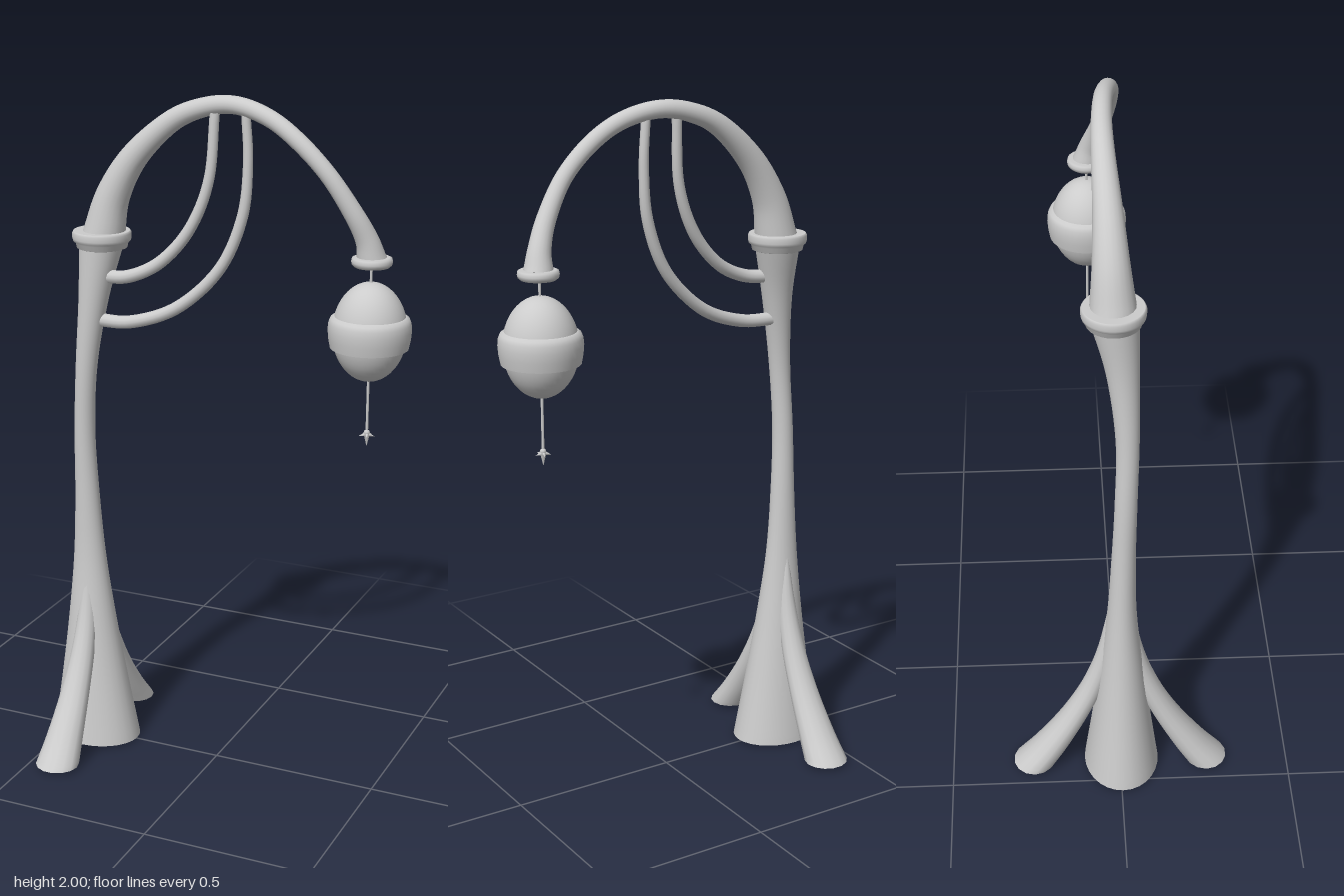
import * as THREE from 'three';

const material = new THREE.MeshStandardMaterial({ color: 0xcccccc });
const V = (x, y, z) => new THREE.Vector3(x, y, z);

// Smooth tapered limb. Each station is [x, y, z, radius, depthRadius].
// With level = true every cross-section stays horizontal.
function limb(stations, steps, sides, level = false) {
  const path = new THREE.CatmullRomCurve3(stations.map(s => V(s[0], s[1], s[2])), false, 'catmullrom');
  const size = new THREE.CatmullRomCurve3(stations.map(s => V(s[3], s[4] ?? s[3], 0)), false, 'catmullrom');
  const pos = [], index = [];
  for (let i = 0; i <= steps; i++) {
    const t = i / steps, p = path.getPoint(t), r = size.getPoint(t);
    const T = level ? V(0, 1, 0) : path.getTangent(t);
    const N = V(0, 0, 1).cross(T).normalize();
    const B = T.clone().cross(N);
    for (let j = 0; j < sides; j++) {
      const a = (j / sides) * Math.PI * 2;
      const q = p.clone().addScaledVector(N, r.x * Math.cos(a)).addScaledVector(B, r.y * Math.sin(a));
      pos.push(q.x, q.y, q.z);
      if (i < steps) {
        const k = (j + 1) % sides, u = i * sides, w = u + sides;
        index.push(u + j, u + k, w + k, u + j, w + k, w + j);
      }
    }
  }
  // End caps get their own ring so their edges stay sharp
  for (const end of [0, 1]) {
    const c = path.getPoint(end), ring = end * steps * sides, base = pos.length / 3;
    pos.push(c.x, c.y, c.z, ...pos.slice(ring * 3, (ring + sides) * 3));
    for (let j = 0; j < sides; j++) {
      const a = base + 1 + j, b = base + 1 + ((j + 1) % sides);
      index.push(base, end ? a : b, end ? b : a);
    }
  }
  const g = new THREE.BufferGeometry();
  g.setAttribute('position', new THREE.Float32BufferAttribute(pos, 3));
  g.setIndex(index);
  g.computeVertexNormals();
  return g;
}

const lathe = (points, sides = 40) =>
  new THREE.LatheGeometry(points.map(p => new THREE.Vector2(p[0], p[1])), sides);

export function createModel() {
  const model = new THREE.Group();
  const add = (name, geometry, x = 0, y = 0, z = 0, parent = model) => {
    const mesh = new THREE.Mesh(geometry, material);
    mesh.name = name;
    mesh.position.set(x, y, z);
    parent.add(mesh);
    return mesh;
  };

  // Trunk, flared at the foot and again below the collar
  add('trunk', limb([
    [-0.408, 0.005, 0.004, 0.139, 0.11],
    [-0.411, 0.2, 0.004, 0.105, 0.085],
    [-0.415, 0.4, 0.004, 0.074, 0.062],
    [-0.419, 0.6, 0.004, 0.05, 0.042],
    [-0.421, 0.8, 0.008, 0.037, 0.034],
    [-0.421, 1.0, 0.014, 0.031],
    [-0.408, 1.2, 0.018, 0.032],
    [-0.386, 1.4, 0.006, 0.044],
    [-0.367, 1.57, -0.017, 0.066],
  ], 48, 28, true), 0, 0, 0);
  add('trunkSole', new THREE.CylinderGeometry(0.07, 0.07, 0.01, 24), -0.408, 0.005, 0.004);

  // Side roots, mirrored front and back
  for (const s of [1, -1]) {
    add(s > 0 ? 'frontRoot' : 'backRoot', limb([
      [-0.412, 0.01, 0.257 * s, 0.066, 0.062],
      [-0.412, 0.09, 0.2 * s, 0.055, 0.052],
      [-0.411, 0.2, 0.134 * s, 0.044, 0.041],
      [-0.41, 0.32, 0.078 * s, 0.035, 0.034],
      [-0.411, 0.45, 0.04 * s, 0.026, 0.027],
      [-0.413, 0.62, 0.018 * s, 0.008, 0.015],
    ], 28, 14, true));
  }

  // Collar at the top of the trunk
  add('collar', lathe([
    [0, -0.05], [0.068, -0.05], [0.073, -0.048], [0.076, -0.034], [0.083, -0.028],
    [0.085, -0.02], [0.085, -0.006], [0.082, 0], [0.08, 0], [0, 0],
  ]), -0.367, 1.597, -0.017);

  // Curved arm
  add('arm', limb([
    [-0.362, 1.58, -0.018, 0.062],
    [-0.331, 1.7, -0.022, 0.049],
    [-0.263, 1.815, -0.027, 0.039],
    [-0.155, 1.916, -0.034, 0.031],
    [-0.055, 1.962, -0.034, 0.027],
    [0.045, 1.975, -0.026, 0.025],
    [0.15, 1.949, -0.01, 0.024],
    [0.24, 1.893, 0, 0.024],
    [0.325, 1.81, -0.003, 0.024],
    [0.39, 1.71, -0.023, 0.027],
    [0.424, 1.635, -0.045, 0.032],
    [0.436, 1.575, -0.058, 0.042],
  ], 72, 20));

  // Two curved braces between trunk and arm
  add('innerBrace', limb([
    [-0.37, 1.468, 0.0, 0.021],
    [-0.27, 1.477, 0.012, 0.019],
    [-0.17, 1.528, 0.004, 0.018],
    [-0.083, 1.63, -0.006, 0.017],
    [-0.03, 1.77, -0.016, 0.015],
    [-0.017, 1.95, -0.026, 0.014],
  ], 36, 12));
  add('outerBrace', limb([
    [-0.385, 1.338, 0.006, 0.02],
    [-0.26, 1.345, 0.012, 0.019],
    [-0.12, 1.4, 0.002, 0.018],
    [0.005, 1.52, -0.008, 0.017],
    [0.07, 1.67, -0.016, 0.016],
    [0.085, 1.82, -0.02, 0.014],
    [0.078, 1.955, -0.02, 0.013],
  ], 40, 12));

  // Hanging lantern
  const lantern = new THREE.Group();
  lantern.name = 'lantern';
  lantern.position.set(0.434, 0, -0.06);
  model.add(lantern);
  add('armCap', lathe([
    [0, -0.014], [0.048, -0.014], [0.055, -0.008], [0.057, 0], [0.055, 0.01], [0.048, 0.013], [0, 0.013],
  ]), 0.002, 1.573, 0.002, lantern);
  const globe = new THREE.SphereGeometry(1, 40, 24);
  globe.scale(0.104, 0.14, 0.104);
  add('globe', globe, 0, 1.375, 0, lantern);
  add('globeBand', lathe([
    [0.09, -0.046], [0.109, -0.046], [0.109, -0.046], [0.114, -0.02], [0.116, 0.005], [0.114, 0.025],
    [0.109, 0.037], [0.1, 0.043], [0.085, 0.046],
  ]), 0, 1.377, 0, lantern);
  add('hangingCord', new THREE.CylinderGeometry(0.004, 0.004, 0.48, 8), 0, 1.325, 0, lantern);

  // Small blossom-like pendant
  const pendant = new THREE.Group();
  pendant.name = 'pendant';
  pendant.position.y = 1.075;
  lantern.add(pendant);
  add('pendantBead', new THREE.SphereGeometry(0.009, 10, 8), 0, 0.008, 0, pendant);
  add('pendantTip', new THREE.ConeGeometry(0.009, 0.036, 8).rotateX(Math.PI), 0, -0.015, 0, pendant);
  for (let i = 0; i < 5; i++) {
    const petal = new THREE.ConeGeometry(0.007, 0.024, 6);
    petal.translate(0, 0.012, 0).rotateZ(-1.75).rotateY((i / 5) * Math.PI * 2);
    add('pendantPetal', petal, 0, 0.004, 0, pendant);
  }
  return model;
}
